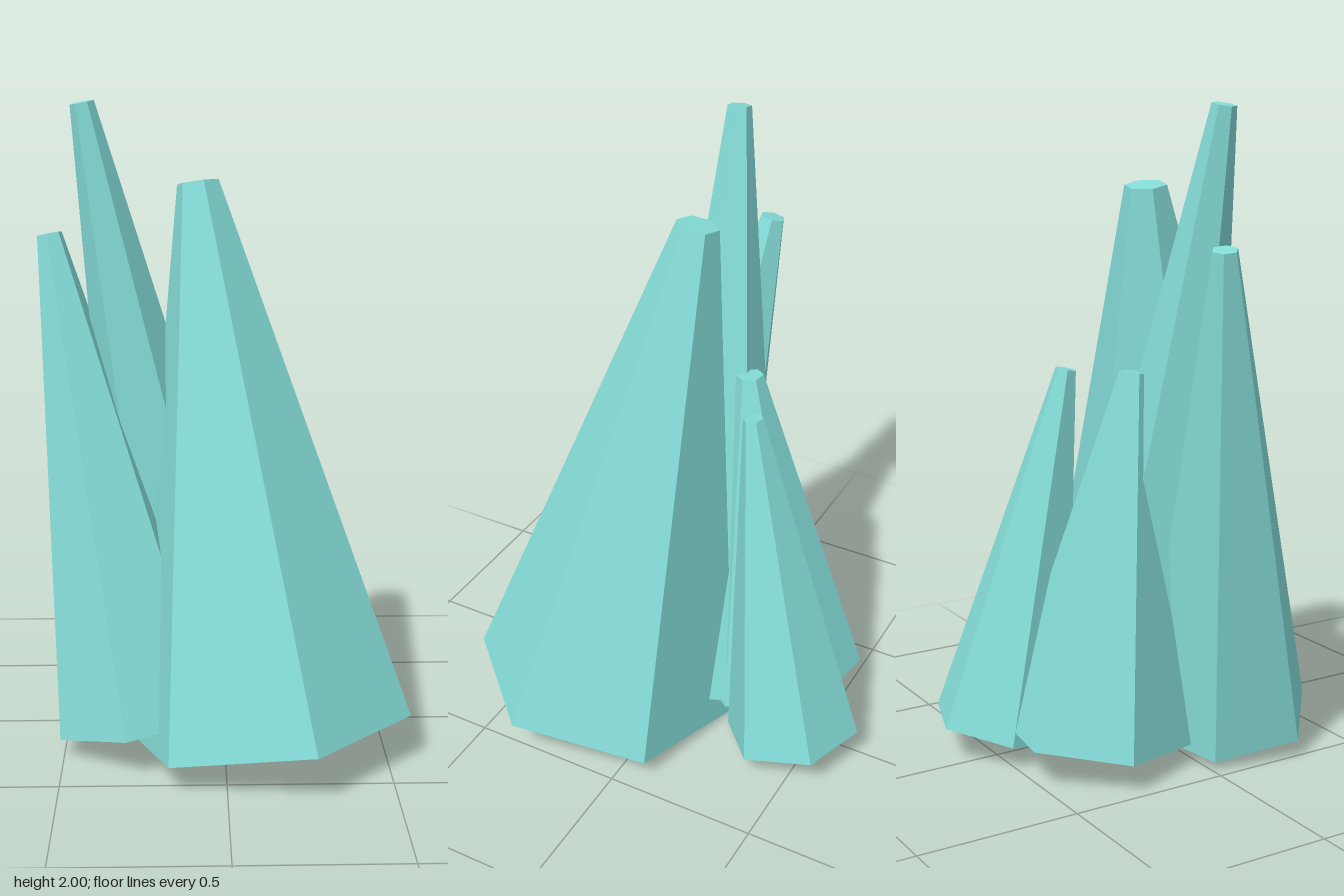
import * as THREE from 'three';

const UP = new THREE.Vector3(0, 1, 0);

// Tapered six-sided crystal between the centres of its two end faces.
// azimuth: degrees from +x towards +z of one corner edge.
function crystal(name, base, tip, baseRadius, tipRadius, azimuth, material) {
  const a = new THREE.Vector3(...base);
  const b = new THREE.Vector3(...tip);
  const axis = b.clone().sub(a);
  const start = THREE.MathUtils.degToRad(90 - azimuth);
  const geometry = new THREE.CylinderGeometry(tipRadius, baseRadius, axis.length(), 6, 1, false, start);
  const mesh = new THREE.Mesh(geometry, material);
  mesh.name = name;
  mesh.position.copy(a).add(b).multiplyScalar(0.5);
  mesh.quaternion.setFromUnitVectors(UP, axis.normalize());
  return mesh;
}

export function createModel() {
  const group = new THREE.Group();
  group.name = 'crystalCluster';
  const material = new THREE.MeshStandardMaterial({ color: 0x84dcd8, flatShading: true });

  // name, base centre, tip centre, base radius, tip radius, corner azimuth
  const crystals = [
    ['mainCrystal', [0.138, 0.08, 0.23], [-0.077, 1.755, -0.004], 0.45, 0.066, 13.8],
    ['tallCrystal', [-0.065, 0.08, -0.05], [-0.424, 1.995, 0.04], 0.26, 0.037, 0],
    ['leftCrystal', [-0.25, 0.095, 0.185], [-0.535, 1.595, -0.03], 0.281, 0.04, 40],
    ['backLeftCrystal', [-0.19, 0.095, -0.255], [-0.203, 1.21, -0.125], 0.297, 0.043, 8.5],
    ['backCrystal', [0.07, 0.078, -0.445], [0.005, 1.2, -0.24], 0.223, 0.033, 18.8],
  ];
  for (const c of crystals) group.add(crystal(...c, material));
  return group;
}
